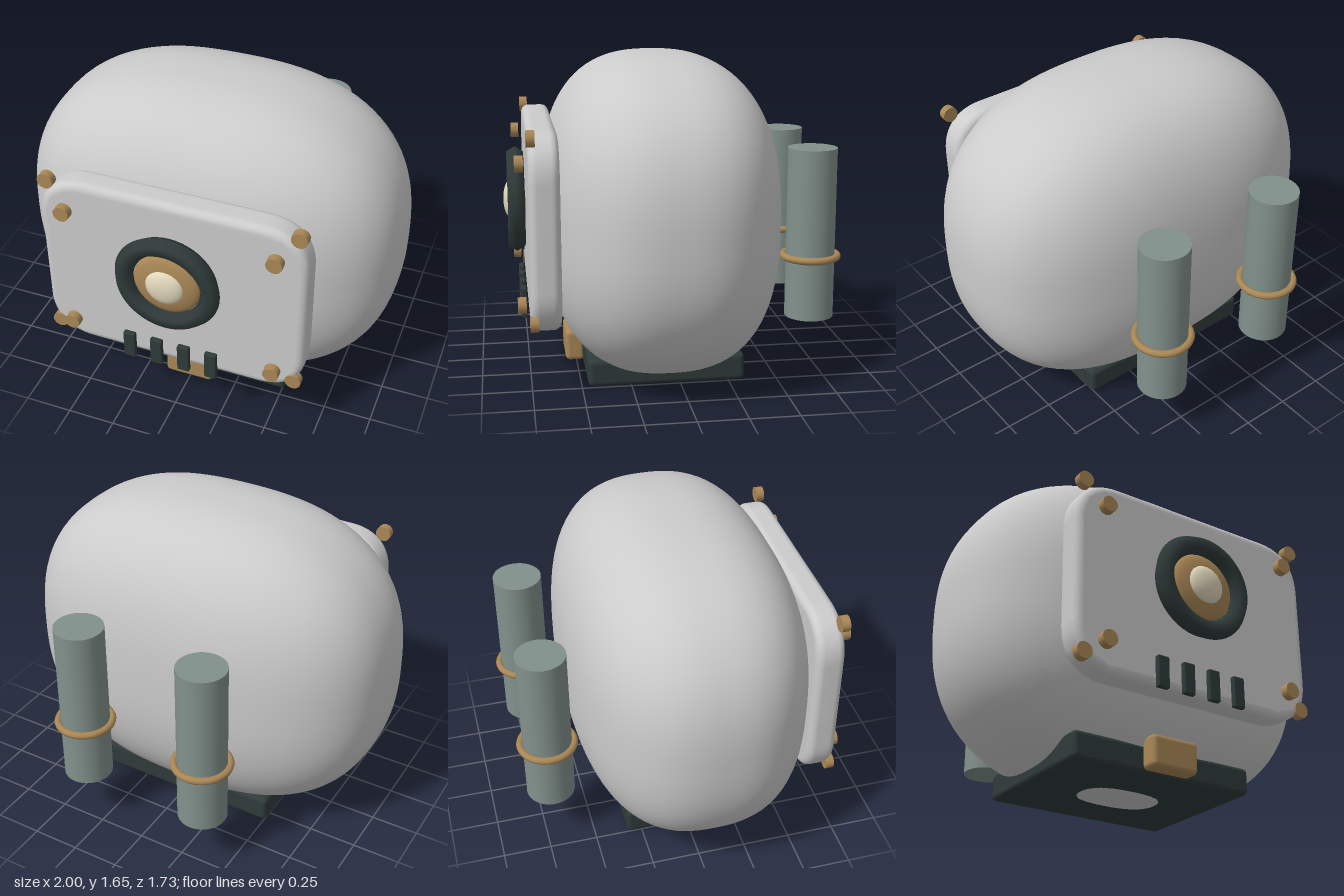
import * as THREE from 'three';
import { mergeVertices } from 'three/addons/utils/BufferGeometryUtils.js';
import { RoundedBoxGeometry } from 'three/addons/geometries/RoundedBoxGeometry.js';

const material = (color) => new THREE.MeshStandardMaterial({ color });

// Cube whose vertices are pushed onto a superellipsoid: a soft, swollen box
function softBox(rx, ry, rz, power) {
  const box = new THREE.BoxGeometry(2, 2, 2, 28, 28, 28);
  box.deleteAttribute('uv');
  box.deleteAttribute('normal');
  const geometry = mergeVertices(box);
  const pos = geometry.attributes.position;
  const v = new THREE.Vector3();
  for (let i = 0; i < pos.count; i++) {
    v.fromBufferAttribute(pos, i);
    // spread the grid evenly before projecting
    v.set(Math.tan(v.x * Math.PI / 4), Math.tan(v.y * Math.PI / 4), Math.tan(v.z * Math.PI / 4));
    const norm = (Math.abs(v.x) ** power + Math.abs(v.y) ** power + Math.abs(v.z) ** power) ** (1 / power);
    v.divideScalar(norm);
    pos.setXYZ(i, v.x * rx, v.y * ry, v.z * rz);
  }
  geometry.computeVertexNormals();
  return geometry;
}

function roundedRect(w, h, r) {
  const x = w / 2, y = h / 2;
  const s = new THREE.Shape();
  s.moveTo(-x + r, -y);
  s.lineTo(x - r, -y);
  s.bezierCurveTo(x - r * 0.35, -y, x, -y + r * 0.35, x, -y + r);
  s.lineTo(x, y - r);
  s.bezierCurveTo(x, y - r * 0.35, x - r * 0.35, y, x - r, y);
  s.lineTo(-x + r, y);
  s.bezierCurveTo(-x + r * 0.35, y, -x, y - r * 0.35, -x, y - r);
  s.lineTo(-x, -y + r);
  s.bezierCurveTo(-x, -y + r * 0.35, -x + r * 0.35, -y, -x + r, -y);
  return s;
}

export function createModel() {
  const group = new THREE.Group();
  const shell = material(0xcccccc);
  const dark = material(0x2f3b39);
  const brass = material(0xa98756);
  const cream = material(0xe2d9bd);
  const steel = material(0x82918c);

  const add = (name, geometry, mat, x, y, z) => {
    const mesh = new THREE.Mesh(geometry, mat);
    mesh.name = name;
    mesh.position.set(x, y, z);
    group.add(mesh);
    return mesh;
  };

  // Swollen body and the foot it sits in
  add('body', softBox(1, 0.825, 0.61, 2.55), shell, 0, 0.828, 0.06);
  add('base', new RoundedBoxGeometry(1.03, 0.14, 0.8, 3, 0.025), dark, 0, 0.08, 0.07);
  add('latch', new RoundedBoxGeometry(0.265, 0.165, 0.1, 3, 0.025), brass, 0, 0.1, 0.51);

  // Front panel with rounded edges
  const bevel = 0.04;
  const panel = new THREE.ExtrudeGeometry(roundedRect(1.38 - 2 * bevel, 1 - 2 * bevel, 0.2), {
    depth: 0.15 - 2 * bevel, bevelThickness: bevel, bevelSize: bevel, bevelSegments: 5, curveSegments: 12,
  });
  panel.deleteAttribute('uv');
  panel.deleteAttribute('normal');
  const smoothPanel = mergeVertices(panel, 1e-4);
  smoothPanel.computeVertexNormals();
  add('frontPanel', smoothPanel, shell, 0, 0.82, 0.6 + bevel);

  // Dial: dark ring, brass dome, cream button
  const dialY = 0.885;
  add('dialRing', new THREE.TorusGeometry(0.225, 0.05, 6, 48), dark, 0, dialY, 0.8);
  const disc = new THREE.SphereGeometry(1, 40, 20);
  add('dialDome', disc, brass, 0, dialY, 0.795).scale.set(0.175, 0.175, 0.045);
  add('dialButton', disc, cream, 0, dialY, 0.825).scale.set(0.1, 0.1, 0.04);

  // Vent bars under the dial
  for (let i = 0; i < 4; i++) {
    add('ventBar', new RoundedBoxGeometry(0.065, 0.16, 0.03, 2, 0.008), dark, -0.23 + i * 0.148, 0.385, 0.775);
  }

  // Bolts at the panel corners, tanks with their bands at the back
  const bolt = new THREE.CylinderGeometry(0.041, 0.041, 0.042, 20);
  bolt.rotateX(Math.PI / 2);
  const tank = new THREE.CylinderGeometry(0.127, 0.127, 0.89, 32);
  const band = new THREE.TorusGeometry(0.14, 0.019, 10, 40);
  band.rotateX(Math.PI / 2);
  for (const side of [-1, 1]) {
    for (const y of [0.4, 1.303]) add('outerBolt', bolt, brass, side * 0.64, y, 0.735);
    for (const y of [0.465, 1.168]) add('innerBolt', bolt, brass, side * 0.54, y, 0.79);
    add('tank', tank, steel, side * 0.35, 0.735, -0.705);
    add('tankBand', band, brass, side * 0.35, 0.613, -0.705);
  }

  return group;
}
